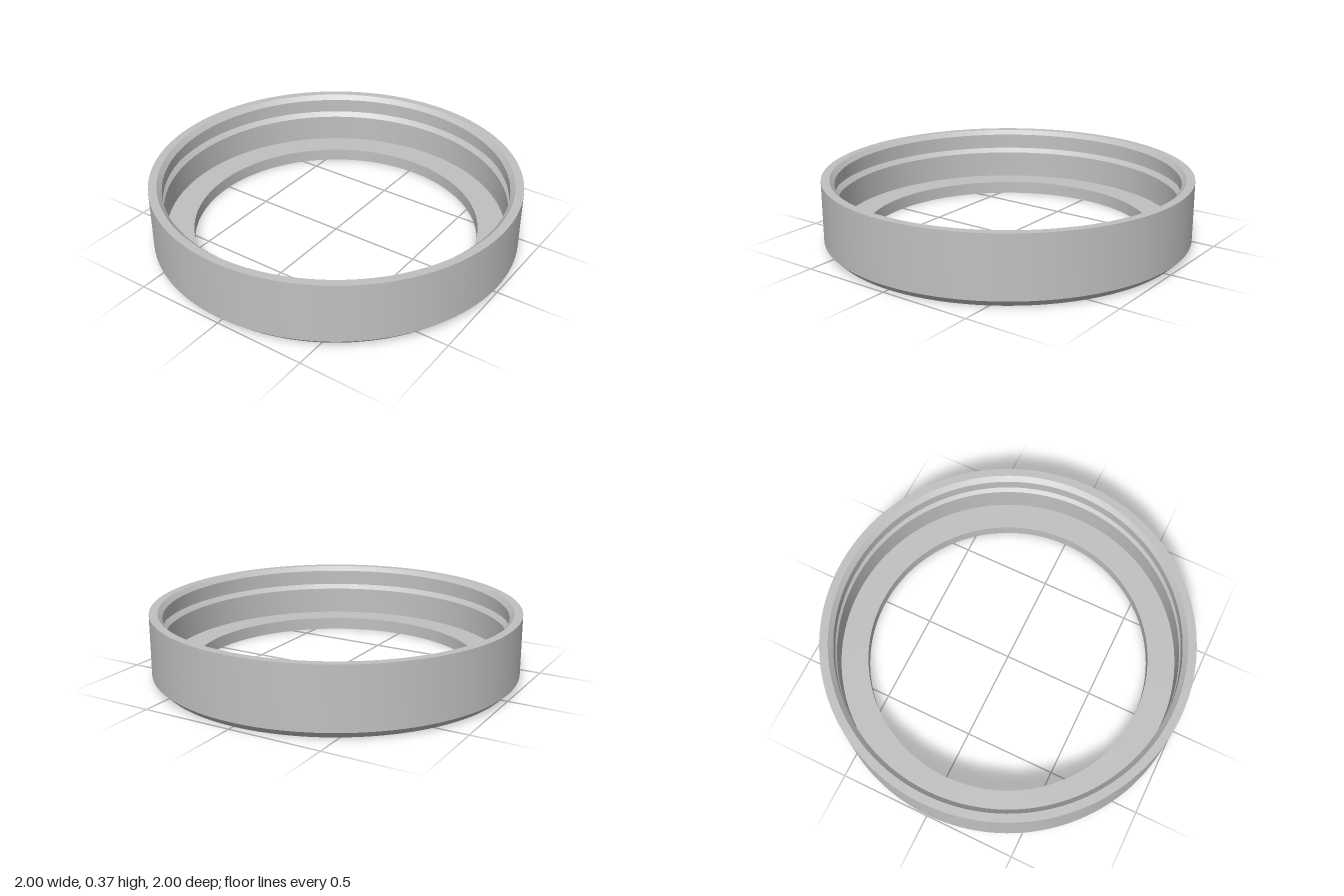
import * as THREE from 'three';
import { toCreasedNormals } from 'three/addons/utils/BufferGeometryUtils.js';

const SEGMENTS = 128;

export function createModel() {
  const group = new THREE.Group();
  group.name = 'ringCap';

  const greyMetal = new THREE.MeshStandardMaterial({ color: 0xc0c0c0 });
  greyMetal.name = 'greyMetal';

  // Closed cross-section [radius, height], running up the outside and down the inside
  const profile = [
    [0.78, 0], [0.963, 0],           // underside
    [1, 0.037], [1, 0.365],          // bottom chamfer and outer wall
    [0.955, 0.365], [0.93, 0.34],    // rim and its inner chamfer
    [0.93, 0.277], [0.955, 0.277],   // upper inner wall, top of the snap groove
    [0.955, 0.248], [0.93, 0.223],   // groove back and its sloped lower side
    [0.93, 0.07], [0.78, 0.07],      // lower inner wall and inner flange
    [0.78, 0],                       // hole wall
  ].map(([r, y]) => new THREE.Vector2(r, y));

  // Smooth around the ring, sharp at the profile corners
  const geometry = toCreasedNormals(new THREE.LatheGeometry(profile, SEGMENTS), Math.PI / 6);
  const body = new THREE.Mesh(geometry, greyMetal);
  body.name = 'ringBody';
  group.add(body);

  return group;
}
